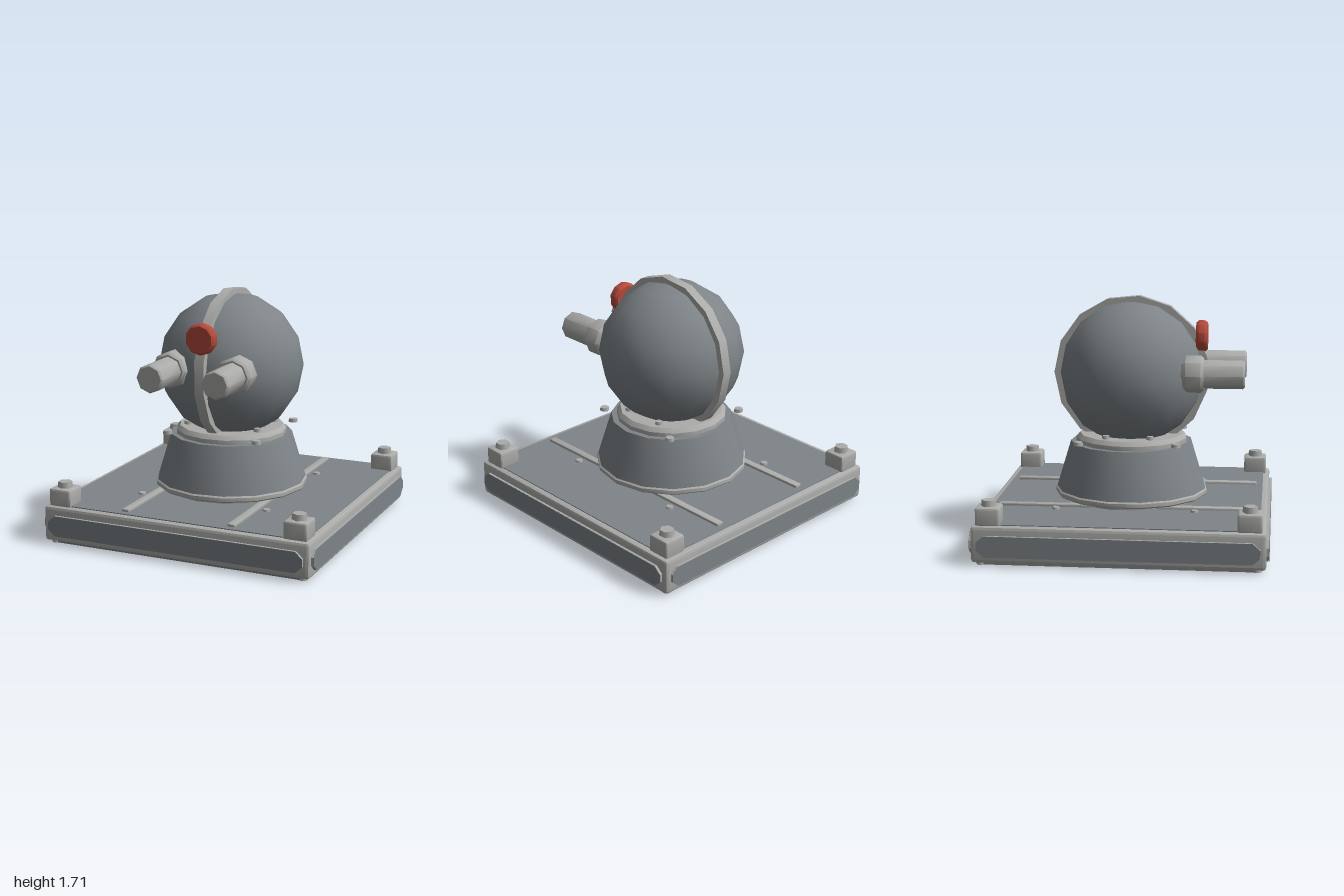
import * as THREE from 'three';
import { toCreasedNormals } from 'three/addons/utils/BufferGeometryUtils.js';
import { RoundedBoxGeometry } from 'three/addons/geometries/RoundedBoxGeometry.js';

const material = (name, color) => Object.assign(new THREE.MeshStandardMaterial({ color }), { name });

export function createModel() {
  const steel = material('dark steel', 0x7e8488);
  const trim = material('light trim', 0xacacaa);
  const red = material('red lamp', 0xb54a3c);
  const model = new THREE.Group();

  const add = (name, geometry, mat, x = 0, y = 0, z = 0) => {
    const mesh = new THREE.Mesh(geometry, mat);
    mesh.name = name;
    mesh.position.set(x, y, z);
    model.add(mesh);
    return mesh;
  };
  // Turned part: profile of [radius, height] from bottom to top
  const turned = (profile, sides, start = 0, crease = 0.6) => toCreasedNormals(
    new THREE.LatheGeometry(profile.map(([r, y]) => new THREE.Vector2(r, y)), sides, start), crease);
  // Bevelled box given by its size and bevel
  const block = (w, h, d, bevel) => toCreasedNormals(new RoundedBoxGeometry(w, h, d, 1, bevel), 0.4);
  const hex = (r, h) => new THREE.CylinderGeometry(r * 0.9, r, h, 6).toNonIndexed();
  const corners = [[1, 1], [1, -1], [-1, 1], [-1, -1]];

  // Base slab with top and bottom plates
  add('baseFrame', block(1.96, 0.25, 1.96, 0.022), trim, 0, 0.145, 0);
  add('baseTopPlate', new THREE.BoxGeometry(1.87, 0.009, 1.87), steel, 0, 0.2715, 0);
  add('baseBottomPlate', new THREE.BoxGeometry(1.88, 0.025, 1.88), steel, 0, 0.0135, 0);

  // Long octagonal panel on each side of the base
  const panel = new THREE.Shape([
    [-0.94, 0.11], [-0.89, 0.065], [0.89, 0.065], [0.94, 0.11],
    [0.94, 0.165], [0.89, 0.21], [-0.89, 0.21], [-0.94, 0.165],
  ].map(([x, y]) => new THREE.Vector2(x, y)));
  for (let i = 0; i < 4; i++) {
    const frame = new THREE.ExtrudeGeometry(panel, { depth: 0.04, bevelEnabled: false });
    frame.translate(0, 0, 0.955);
    const face = new THREE.ExtrudeGeometry(panel, { depth: 0.004, bevelEnabled: false });
    face.translate(0, 0, 0.996);
    add('sidePanelFrame', frame, trim).rotation.y = i * Math.PI / 2;
    add('sidePanelFace', face, steel).rotation.y = i * Math.PI / 2;
  }

  // Rails on the top plate
  for (const s of [-1, 1]) add('rail', block(0.055, 0.03, 1.78, 0.008), trim, s * 0.393, 0.28, 0);

  // Corner blocks with nuts, feet and plate bolts
  for (const [sx, sz] of corners) {
    add('cornerBlock', block(0.165, 0.13, 0.165, 0.015), trim, sx * 0.87, 0.325, sz * 0.87);
    add('cornerNut', hex(0.053, 0.04), trim, sx * 0.87, 0.41, sz * 0.87);
    add('foot', hex(0.032, 0.03), trim, sx * 0.92, 0.015, sz * 0.92);
    add('plateBolt', hex(0.028, 0.016), trim, sx * 0.475, 0.283, sz * 0.48);
    add('collarBolt', hex(0.034, 0.025), trim, sx * 0.34, 0.71, sz * 0.34);
  }

  // Conical pedestal with a light ring at each end
  const east = Math.PI / 2;
  add('pedestalRing', turned([[0, 0.27], [0.48, 0.27], [0.48, 0.3], [0.535, 0.3], [0.545, 0.31],
    [0.545, 0.335], [0.53, 0.348], [0, 0.348]], 15, east), trim);
  add('pedestalCone', turned([[0, 0.34], [0.535, 0.345], [0.435, 0.675], [0, 0.675]], 15, east), steel);
  add('pedestalCollar', turned([[0, 0.67], [0.395, 0.67], [0.395, 0.705], [0.37, 0.735], [0, 0.735]],
    15, east), trim);
  for (let i = 0; i < 6; i++) {
    const a = i * Math.PI / 3;
    add('neckBolt', hex(0.028, 0.025), trim, Math.sin(a) * 0.31, 0.745, Math.cos(a) * 0.31);
  }

  // Round head with a narrow band running over it
  add('head', new THREE.SphereGeometry(0.512, 16, 8), steel, 0, 1.165, 0);
  const band = new THREE.CylinderGeometry(0.55, 0.55, 0.07, 15, 1, false, Math.PI);
  add('headBand', band.rotateZ(Math.PI / 2), trim, 0, 1.165, 0);

  // Twin barrels with thicker collars
  for (const s of [-1, 1]) {
    const collar = turned([[0, 0.34], [0.09, 0.36], [0.13, 0.4], [0.13, 0.505], [0.112, 0.525], [0, 0.525]], 8, 0, 0.8);
    add('barrelCollar', collar.rotateX(Math.PI / 2), trim, s * 0.24, 1.197, 0);
    const barrel = turned([[0.1, 0.45], [0.1, 0.795], [0.088, 0.807], [0, 0.807]], 8, 0, 0.8);
    add('barrel', barrel.rotateX(Math.PI / 2), trim, s * 0.24, 1.197, 0);
  }

  // Red lamp on the front of the band
  const lamp = turned([[0, 0.457], [0.095, 0.457], [0.11, 0.475], [0.11, 0.52], [0.095, 0.537], [0, 0.537]], 10, 0, 0.7);
  add('lamp', lamp.rotateX(Math.PI / 2), red, 0, 1.432, 0);

  return model;
}
